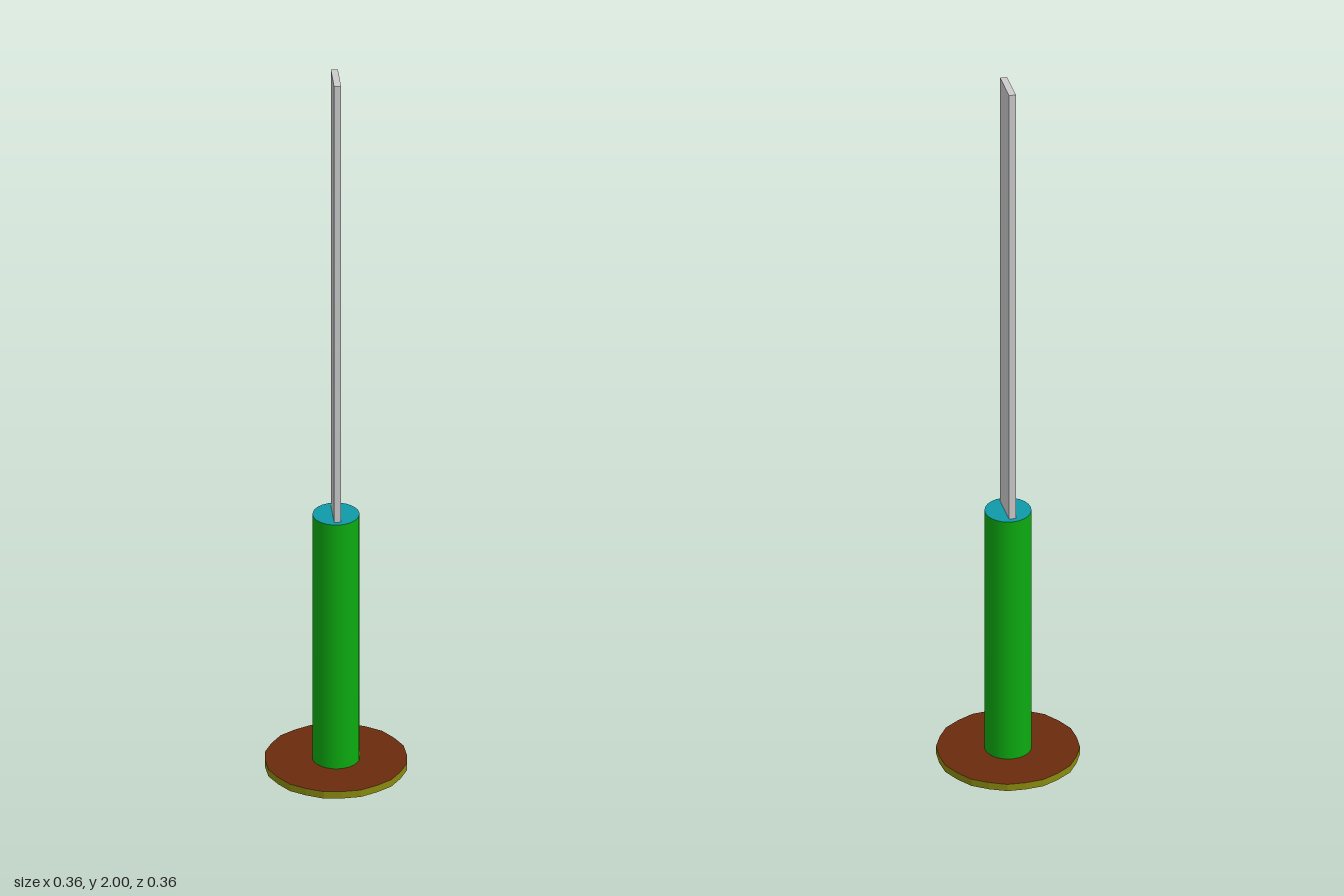
import * as THREE from 'three';

const paint = (color, extra = {}) => new THREE.MeshStandardMaterial({ color, ...extra });

export function createModel() {
  const group = new THREE.Group();
  const add = (name, geometry, material, y) => {
    const mesh = new THREE.Mesh(geometry, material);
    mesh.name = name;
    mesh.position.y = y;
    group.add(mesh);
    return mesh;
  };

  const gripRadius = 0.06, gripTop = 0.73, sides = 24;

  // Guard: thin 24-sided disc with a slightly uneven rim, pierced for the grip
  const rim = [];
  for (let i = 0; i < sides; i++) {
    const a = (i / sides) * Math.PI * 2;
    const r = i % 2 ? 0.184 : 0.1815;
    rim.push(new THREE.Vector2(r * Math.cos(a), r * Math.sin(a)));
  }
  const disc = new THREE.Shape(rim);
  disc.holes.push(new THREE.Path().absarc(0, 0, gripRadius + 0.0005, 0, Math.PI * 2, true));
  const discGeometry = new THREE.ExtrudeGeometry(disc, { depth: 0.02, bevelEnabled: false, curveSegments: 12 });
  discGeometry.rotateX(-Math.PI / 2);
  add('guardDisc', discGeometry, [paint(0x6b2b0e), paint(0x8a8a10, { flatShading: true })], 0);

  // Grip: tube open at the bottom
  add('grip', new THREE.CylinderGeometry(gripRadius, gripRadius, gripTop, sides, 1, true),
    paint(0x0cab10, { side: THREE.DoubleSide }), gripTop / 2);

  // Cap closing the top of the grip
  const capGeometry = new THREE.CircleGeometry(gripRadius, sides, Math.PI / 2);
  capGeometry.rotateX(-Math.PI / 2);
  add('gripCap', capGeometry, paint(0x0f99aa, { side: THREE.DoubleSide }), gripTop);

  // Blade: long flat bar standing on the cap
  const bladeLength = 2 - gripTop;
  add('blade', new THREE.BoxGeometry(0.018, bladeLength, 0.09), paint(0xcccccc), gripTop + bladeLength / 2);

  return group;
}
